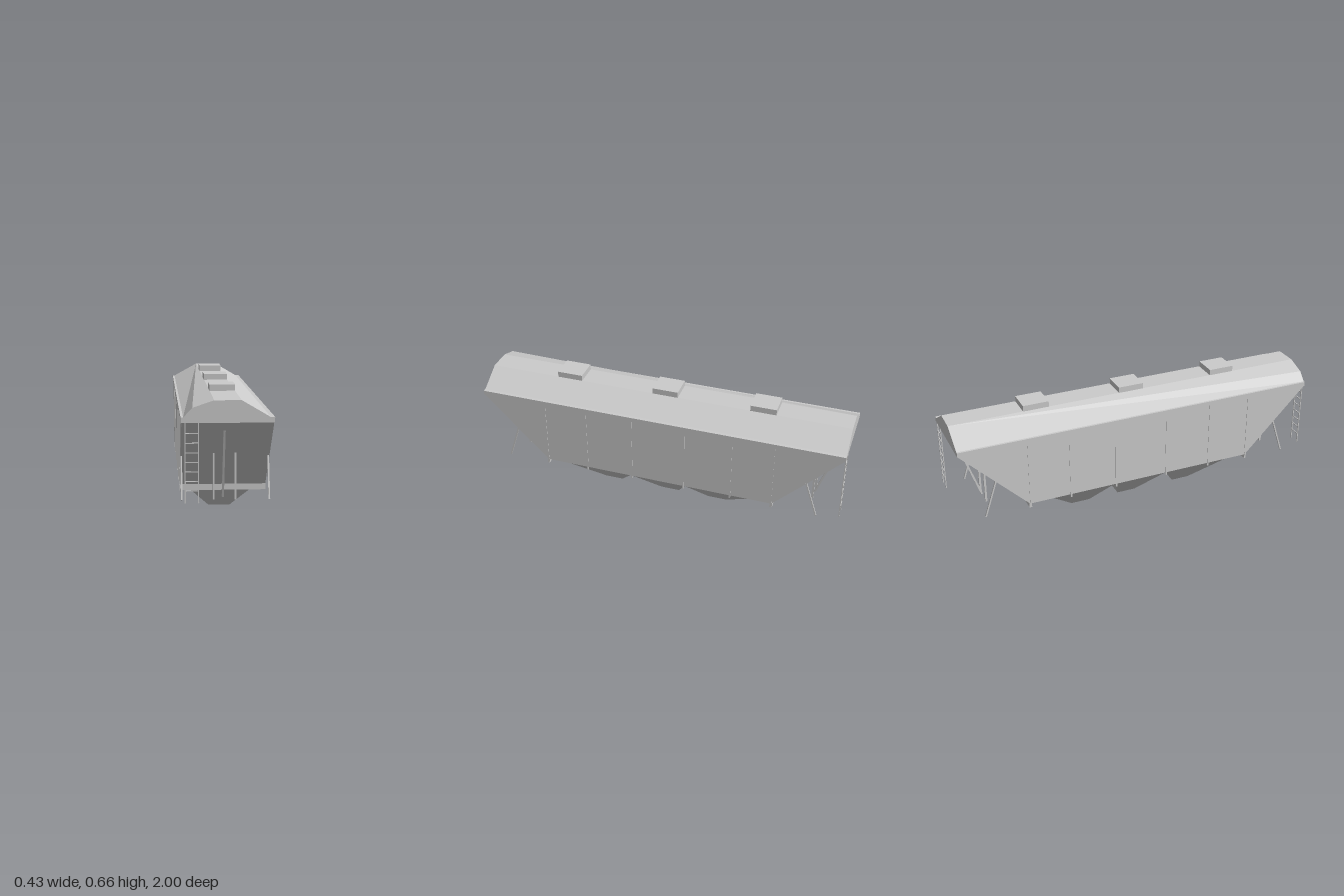
import * as THREE from 'three';

const material = new THREE.MeshStandardMaterial({ color: 0xcccccc, flatShading: true });

function add(parent, name, geometry, x = 0, y = 0, z = 0) {
  const mesh = new THREE.Mesh(geometry, material);
  mesh.name = name;
  mesh.position.set(x, y, z);
  parent.add(mesh);
  return mesh;
}

const box = (parent, name, w, h, d, x, y, z) =>
  add(parent, name, new THREE.BoxGeometry(w, h, d), x, y, z);

// Square bar running from one point to another
function bar(parent, name, from, to, width) {
  const a = new THREE.Vector3(...from), b = new THREE.Vector3(...to);
  const mid = a.clone().add(b).multiplyScalar(0.5);
  const mesh = box(parent, name, width, a.distanceTo(b), width, mid.x, mid.y, mid.z);
  mesh.quaternion.setFromUnitVectors(new THREE.Vector3(0, 1, 0), b.sub(a).normalize());
  return mesh;
}

// Closed solid between two rings; ring a runs clockwise seen from its own outer end
function loft(a, b) {
  const n = a.length, points = [];
  for (let i = 0; i < n; i++) {
    const j = (i + 1) % n;
    points.push(a[i], a[j], b[j], a[i], b[j], b[i]);
    if (i > 0 && i < n - 1) points.push(a[0], a[i + 1], a[i], b[0], b[i], b[i + 1]);
  }
  const geometry = new THREE.BufferGeometry();
  geometry.setAttribute('position', new THREE.Float32BufferAttribute(points.flat(), 3));
  geometry.computeVertexNormals();
  return geometry;
}

const rectangle = (x, y, z0, z1) => [[-x, y, z0], [-x, y, z1], [x, y, z1], [x, y, z0]];

// Ladder, struts and posts below one sloping end
function endGear(name) {
  const gear = new THREE.Group();
  gear.name = name;
  for (const x of [-0.194, -0.133]) box(gear, 'ladderRail', 0.005, 0.37, 0.005, x, 0.339, 0.997);
  for (let i = 0; i < 7; i++) {
    box(gear, 'ladderRung', 0.061, 0.004, 0.004, -0.1635, 0.21 + i * 0.0441, 0.997);
  }
  bar(gear, 'centreStrut', [-0.012, 0.482, 0.952], [-0.012, 0.147, 0.836], 0.01);
  for (const x of [-0.055, 0.048]) box(gear, 'post', 0.009, 0.224, 0.011, x, 0.245, 0.831);
  for (const x of [-0.207, 0.204]) bar(gear, 'sideStrut', [x, 0.339, 0.813], [x, 0.142, 0.878], 0.008);
  return gear;
}

export function createModel() {
  const model = new THREE.Group();
  model.name = 'hopperBody';

  // Body: trapezoid side profile extruded across the width
  const side = new THREE.Shape([[-1, 0.525], [-0.64, 0.162], [0.64, 0.162], [1, 0.525]]
    .map(([z, y]) => new THREE.Vector2(z, y)));
  const bodyGeometry = new THREE.ExtrudeGeometry(side, { depth: 0.42, bevelEnabled: false });
  bodyGeometry.translate(0, 0, -0.21).rotateY(Math.PI / 2);
  add(model, 'body', bodyGeometry);
  box(model, 'rim', 0.427, 0.025, 2, 0, 0.535, 0);

  // Roof: its extra fold on one side tapers away to the back
  const frontRing = [[-0.203, 0.547], [-0.161, 0.592], [-0.062, 0.625], [0.062, 0.625], [0.195, 0.547]];
  const backRing = [[-0.203, 0.547], [-0.062, 0.625], [-0.062, 0.625], [0.062, 0.625], [0.195, 0.547]];
  add(model, 'roof', loft(frontRing.map(([x, y]) => [x, y, 1]), backRing.map(([x, y]) => [x, y, -1])));

  // Roof hatches
  for (const z of [-0.535, 0, 0.545]) box(model, 'hatch', 0.126, 0.033, 0.14, 0, 0.6395, z);

  // Discharge hoppers: top and bottom extents along z
  const hoppers = [[0.155, 0.515, 0.262, 0.362], [-0.16, 0.142, -0.078, 0.026], [-0.51, -0.162, -0.354, -0.25]];
  for (const [t0, t1, b0, b1] of hoppers) {
    add(model, 'hopper', loft(rectangle(0.055, 0, b0, b1), rectangle(0.21, 0.163, t0, t1)));
  }

  // Side ribs
  for (const x of [-0.2095, 0.2095]) {
    for (const z of [-0.635, -0.41, -0.15, 0.145, 0.405, 0.642]) {
      const foot = Math.abs(z) > 0.6 ? 0.14 : 0.146;
      box(model, 'sideRib', 0.006, 0.53 - foot, 0.009, x, (0.53 + foot) / 2, z);
    }
  }

  // Cross sills and end gear
  for (const z of [-0.638, 0.642]) box(model, 'crossSill', 0.422, 0.03, 0.012, 0, 0.155, z);
  const backGear = endGear('backGear');
  backGear.rotation.y = Math.PI;
  model.add(endGear('frontGear'), backGear);

  return model;
}
